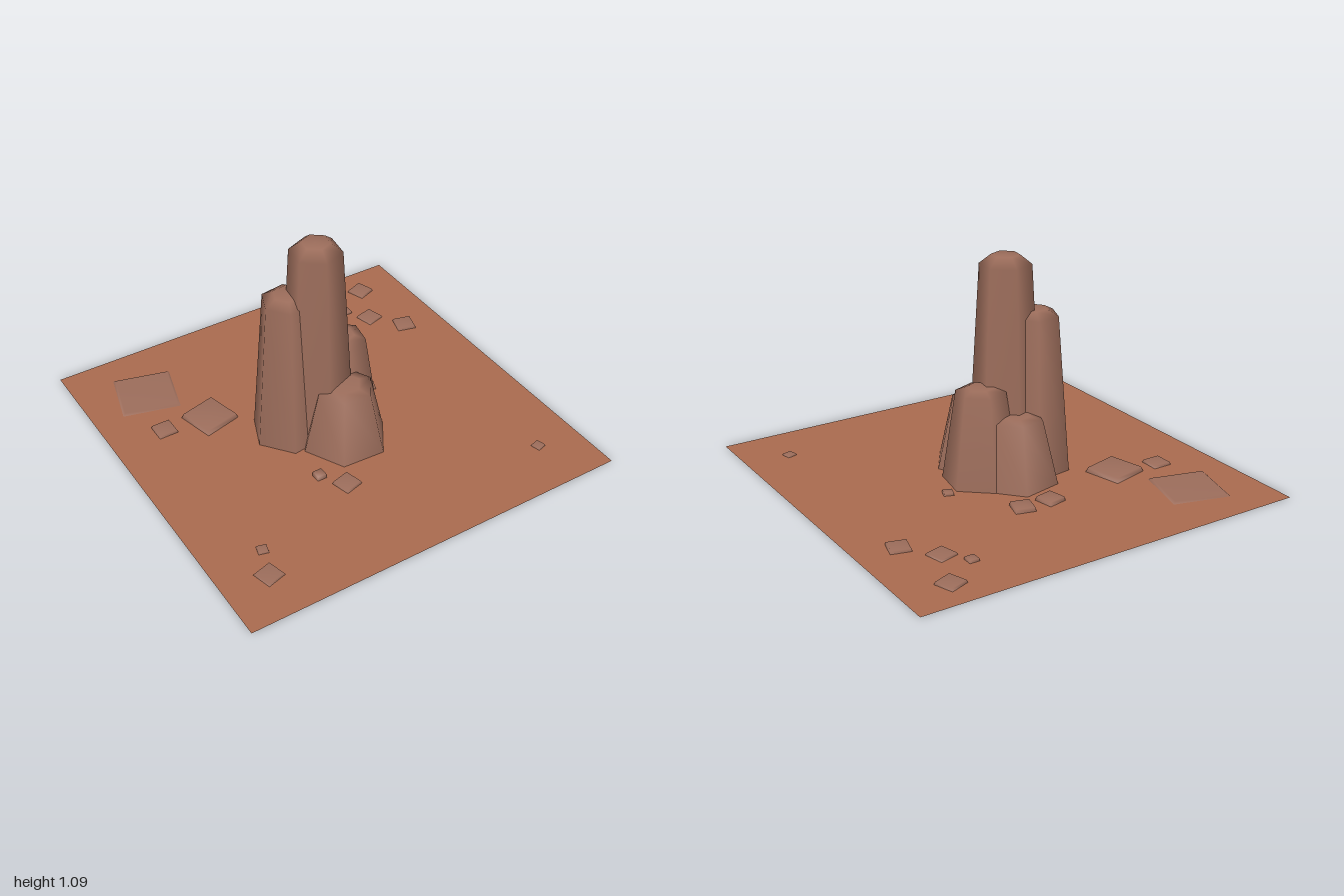
import * as THREE from 'three';

const rad = THREE.MathUtils.degToRad;

// Faceted, softly shaded stone: profile of [radius, height] turned around y.
// angle is the direction of one corner, measured from +x towards +z.
function stone(name, profile, sides, angle, x, z, material) {
  const points = profile.map(([r, y]) => new THREE.Vector2(r, y));
  const geometry = new THREE.LatheGeometry(points, sides, rad(90 - angle));
  const mesh = new THREE.Mesh(geometry, material);
  mesh.name = name;
  mesh.position.set(x, 0, z);
  return mesh;
}

export function createModel() {
  const group = new THREE.Group();
  group.name = 'rockFormation';
  const soil = new THREE.MeshStandardMaterial({ name: 'red soil', color: 0xaa6b4f, side: THREE.DoubleSide });
  const rock = new THREE.MeshStandardMaterial({ name: 'brown rock', color: 0x9c6d5b });

  // Flat square of ground
  const ground = new THREE.Mesh(new THREE.PlaneGeometry(2, 2).rotateX(-Math.PI / 2), soil);
  ground.name = 'ground';
  group.add(ground);

  // Six-sided pillars: x, z, height, base radius, shoulder radius, bevel height, corner angle
  const pillars = [
    ['tallPillar', -0.065, 0.018, 1.085, 0.185, 0.126, 0.045, 98],
    ['leftPillar', -0.19, -0.035, 0.815, 0.19, 0.126, 0.03, 52],
    ['rightPillar', 0.105, -0.03, 0.472, 0.19, 0.122, 0.02, 40],
    ['frontBoulder', 0.005, 0.163, 0.335, 0.22, 0.143, 0.015, 63],
    ['backBoulder', -0.03, -0.13, 0.335, 0.21, 0.132, 0.015, 48],
  ];
  for (const [name, x, z, h, base, shoulder, bevel, angle] of pillars) {
    const profile = [[base, 0], [shoulder, h - bevel], [shoulder * 0.55, h], [0, h]];
    group.add(stone(name, profile, 6, angle, x, z, rock));
  }

  // Flat square stones scattered around: x, z, side, height, turn
  const pebbles = [
    [-0.67, -0.66, 0.293, 0.01, 15],
    [-0.485, -0.32, 0.2, 0.024, -14],
    [-0.72, -0.355, 0.1, 0.013, 0],
    [-0.035, -0.415, 0.1, 0.02, -12],
    [0.12, -0.415, 0.1, 0.02, 15],
    [0.76, -0.835, 0.1, 0.013, -20],
    [0.58, -0.71, 0.05, 0.013, 0],
    [0.665, -0.6, 0.1, 0.01, -15],
    [0.79, -0.445, 0.1, 0.013, 15],
    [0.33, -0.095, 0.05, 0.013, 20],
    [-0.25, 0.34, 0.05, 0.024, 0],
    [-0.165, 0.45, 0.1, 0.013, -15],
    [-0.77, 0.755, 0.1, 0.009, -15],
    [-0.72, 0.61, 0.05, 0.008, 15],
    [0.77, 0.725, 0.05, 0.008, -15],
  ];
  pebbles.forEach(([x, z, side, h, turn], i) => {
    const r = side * Math.SQRT1_2;
    const profile = [[r, 0], [r * 0.92, h], [0, h]];
    group.add(stone(`pebble${i + 1}`, profile, 4, 45 + turn, x, z, rock));
  });

  return group;
}
